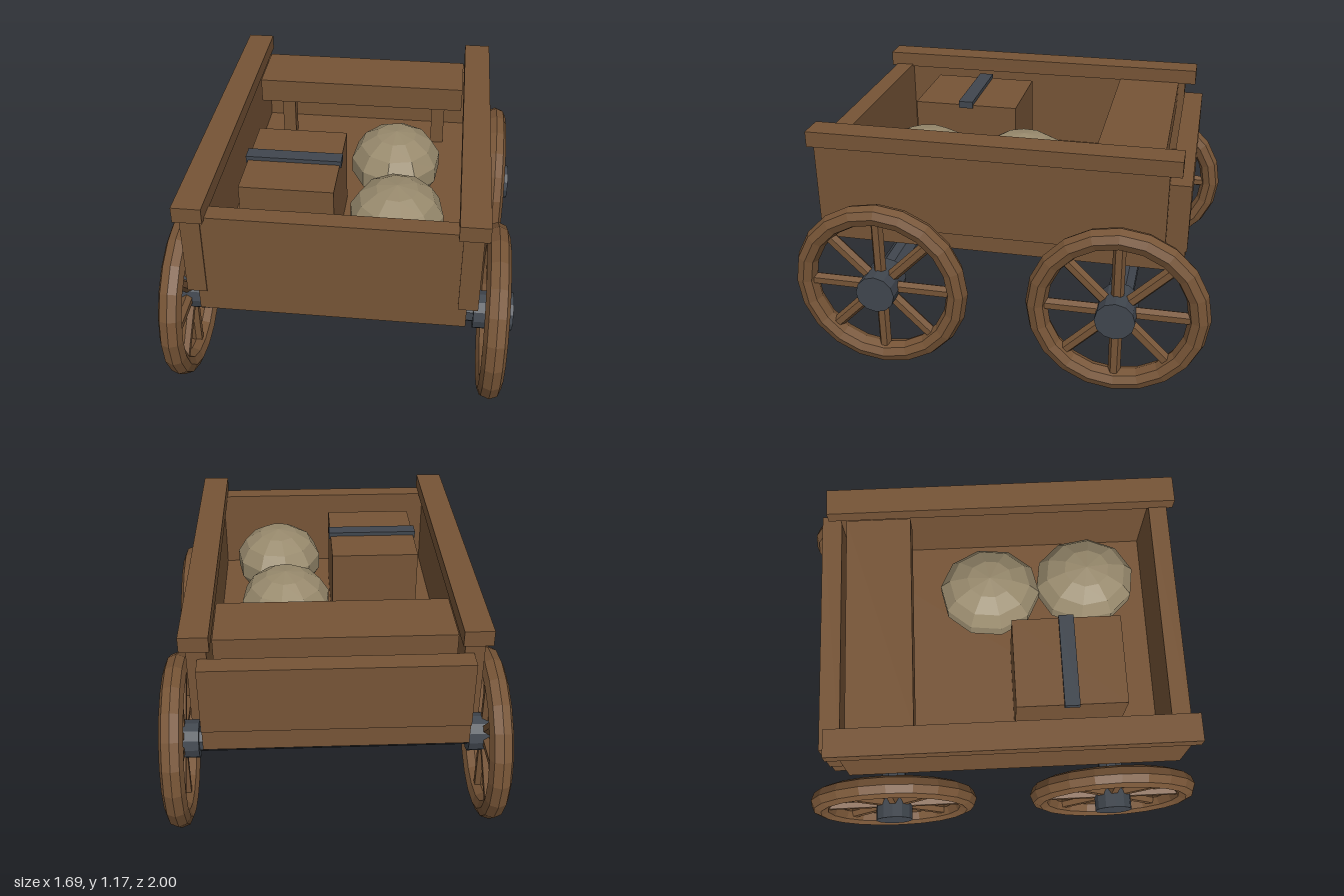
import * as THREE from 'three';

export function createModel() {
  const mat = (name, color) => {
    const m = new THREE.MeshStandardMaterial({ color, flatShading: true });
    m.name = name;
    return m;
  };
  const wood = mat('brown wood', 0x765436);
  const iron = mat('dark iron', 0x40464e);
  const cloth = mat('sack cloth', 0x988a6d);

  const cart = new THREE.Group();
  cart.name = 'cart';

  const add = (parent, name, geometry, material) => {
    const mesh = new THREE.Mesh(geometry, material);
    mesh.name = name;
    parent.add(mesh);
    return mesh;
  };
  // Box given by its lower and upper limits on each axis
  const box = (name, material, [x0, x1], [y0, y1], [z0, z1]) => {
    const m = add(cart, name, new THREE.BoxGeometry(x1 - x0, y1 - y0, z1 - z0), material);
    m.position.set((x0 + x1) / 2, (y0 + y1) / 2, (z0 + z1) / 2);
    return m;
  };
  const mirrored = (side, a, b) => (side > 0 ? [a, b] : [-b, -a]);

  // Cart bed
  box('floor', wood, [-0.61, 0.61], [0.595, 0.7], [-0.855, 0.88]);
  box('frontBoard', wood, [-0.612, 0.612], [0.7, 1.11], [0.79, 0.88]);
  box('tailBoard', wood, [-0.612, 0.612], [0.7, 1.03], [-0.863, -0.765]);
  for (const s of [1, -1]) {
    box('sideBoard', wood, mirrored(s, 0.57, 0.66), [0.7, 1.1], [-0.765, 0.887]);
    box('topRail', wood, mirrored(s, 0.55, 0.683), [1.1, 1.175], [-0.82, 0.912]);
    box('benchLeg', wood, mirrored(s, 0.385, 0.455), [0.7, 0.98], [-0.605, -0.535]);
  }
  box('bench', wood, [-0.545, 0.545], [0.98, 1.105], [-0.73, -0.41]);

  // Cargo
  box('crate', wood, [-0.46, -0.02], [0.7, 1.09], [0.07, 0.6]);
  box('crateStrap', iron, [-0.47, -0.013], [1.075, 1.11], [0.297, 0.37]);
  for (const [x, z, turn] of [[0.222, -0.025, 0.2], [0.26, 0.46, 0.5]]) {
    const geo = new THREE.SphereGeometry(1, 10, 7);
    geo.rotateY(turn);
    geo.scale(0.23, 0.18, 0.257);
    add(cart, 'sack', geo, cloth).position.set(x, 0.88, z);
  }

  // Axles and spoked wheels
  const wheelY = 0.434;
  const rimGeo = new THREE.TorusGeometry(0.379, 0.052, 8, 20);
  rimGeo.scale(1, 1, 1.08);
  rimGeo.rotateY(Math.PI / 2);
  const hubGeo = new THREE.CylinderGeometry(0.094, 0.094, 0.19, 12);
  hubGeo.rotateZ(Math.PI / 2);
  const spokeGeo = new THREE.CylinderGeometry(0.03, 0.03, 0.28, 6);
  spokeGeo.translate(0, 0.21, 0);
  const axleGeo = new THREE.CylinderGeometry(0.064, 0.064, 1.5, 8);
  axleGeo.rotateY(Math.PI / 8);
  axleGeo.rotateZ(Math.PI / 2);

  for (const z of [0.57, -0.57]) {
    add(cart, 'axle', axleGeo, iron).position.set(0, wheelY, z);
    for (const s of [1, -1]) {
      const wheel = new THREE.Group();
      wheel.name = 'wheel';
      wheel.position.set(s * 0.75, wheelY, z);
      add(wheel, 'rim', rimGeo, wood);
      add(wheel, 'hub', hubGeo, iron);
      for (let i = 0; i < 8; i++) {
        add(wheel, 'spoke', spokeGeo, wood).rotation.x = (i * Math.PI) / 4;
      }
      cart.add(wheel);
    }
  }
  return cart;
}
